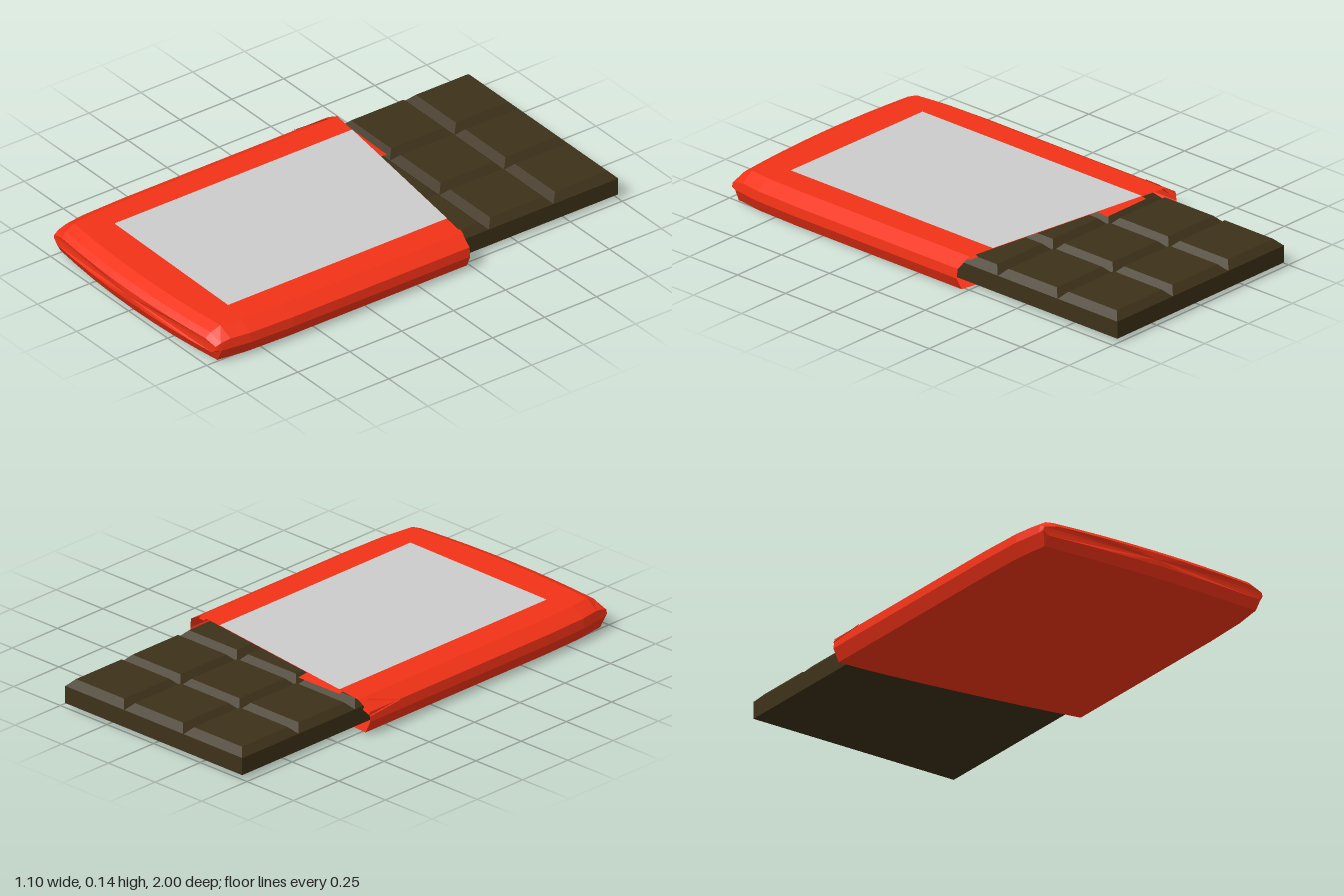
import * as THREE from 'three';

const choc = new THREE.MeshStandardMaterial({ color: 0x3d3118, flatShading: true });
const red = new THREE.MeshStandardMaterial({ color: 0xf23216, flatShading: true, side: THREE.DoubleSide });
const grey = new THREE.MeshStandardMaterial({ color: 0xcccccc, flatShading: true, side: THREE.DoubleSide });

// Slanted torn edge of the wrapper
const tornZ = (x) => THREE.MathUtils.clamp(-0.305 + 0.135 * x, -0.37, -0.23);

function add(parent, name, geometry, material) {
  const mesh = new THREE.Mesh(geometry, material);
  mesh.name = name;
  parent.add(mesh);
  return mesh;
}

function surface(points, index) {
  const g = new THREE.BufferGeometry();
  g.setAttribute('position', new THREE.Float32BufferAttribute(points.flat(), 3));
  g.setIndex(index);
  g.computeVertexNormals();
  return g;
}

// Chocolate: a slab carrying rows of bevelled squares
function chocolateBar() {
  const bar = new THREE.Group();
  bar.name = 'chocolateBar';
  const cols = 3, rows = 6, w = 0.95 / cols, d = 0.312, inset = 0.03;
  add(bar, 'slab', new THREE.BoxGeometry(0.95, 0.072, rows * d), choc)
    .position.set(0, 0.056, -1 + rows * d / 2);

  const tile = new THREE.BoxGeometry(w, 0.03, d);
  const p = tile.attributes.position;
  for (let i = 0; i < p.count; i++) {
    if (p.getY(i) > 0) {
      p.setX(i, p.getX(i) - Math.sign(p.getX(i)) * inset);
      p.setZ(i, p.getZ(i) - Math.sign(p.getZ(i)) * inset);
    }
  }
  tile.computeVertexNormals();
  for (let r = 0; r < rows; r++) {
    for (let c = 0; c < cols; c++) {
      add(bar, 'square', tile, choc).position.set((c - 1) * w, 0.106, -1 + (r + 0.5) * d);
    }
  }
  return bar;
}

// Wrapper: one cross-section lofted from the torn edge to the closed front
function wrapperGeometry() {
  const mid = 0.068, ring = [];
  const side = [[0.55, 0.06], [0.545, 0.1]];
  for (let i = 0; i <= 8; i++) {
    const t = i / 4 - 1;
    ring.push([0.525 * t, 0.008 - 0.007 * (1 - t * t)]);
  }
  ring.push(...side);
  for (let i = 0; i <= 8; i++) ring.push([0.485 * (1 - i / 4), 0.134]);
  ring.push(...side.map(([x, y]) => [-x, y]).reverse());

  // z, width scale, scale of the upper half, scale of the lower half
  const stations = [
    [null, 1, 1, 1], [0.2, 1, 1, 1], [0.62, 1, 1, 1], [0.82, 0.988, 1, 1],
    [0.935, 0.965, 1, 1], [0.978, 0.955, 0.72, 1], [1, 0.945, 0.4, 0.35],
  ];
  const points = [], index = [], n = ring.length;
  stations.forEach(([z, s, up, low], k) => {
    for (const [x, y] of ring) {
      const bulge = z > 0.9 ? 0.028 * (x / 0.525) ** 2 : 0;
      points.push([x * s, mid + (y - mid) * (y > mid ? up : low), z === null ? tornZ(x) : z - bulge]);
    }
    if (k === 0) return;
    for (let i = 0; i < n; i++) {
      const a = (k - 1) * n + i, b = (k - 1) * n + (i + 1) % n;
      index.push(a, b, a + n, b, b + n, a + n);
    }
  });
  // Close the front
  const last = (stations.length - 1) * n;
  points.push([0, mid, 1]);
  for (let i = 0; i < n; i++) index.push(last + i, last + (i + 1) % n, points.length - 1);
  return surface(points, index);
}

export function createModel() {
  const model = new THREE.Group();
  model.name = 'wrappedChocolateBar';
  model.add(chocolateBar());
  add(model, 'wrapper', wrapperGeometry(), red);

  // Blank label lying on the wrapper, cut off at the tear
  add(model, 'label', surface([
    [-0.37, 0.136, tornZ(-0.37)], [-0.37, 0.136, 0.79],
    [0.37, 0.136, 0.8], [0.37, 0.136, tornZ(0.37)],
  ], [0, 1, 2, 0, 2, 3]), grey);

  // Torn shreds along the opening
  const flap = [0, 1, 2, 0, 2, 3];
  add(model, 'cornerFlap', surface([
    [-0.55, 0.1, -0.2], [-0.552, 0.085, -0.37], [-0.51, 0.1, -0.37], [-0.5, 0.13, -0.33],
  ], flap), red);
  add(model, 'innerShred', surface([
    [-0.38, 0.128, -0.34], [-0.38, 0.124, -0.367], [-0.16, 0.122, -0.365], [-0.16, 0.128, -0.31],
  ], flap), red);
  add(model, 'sideShred', surface([
    [0.45, 0.133, -0.235], [0.455, 0.128, -0.255], [0.49, 0.124, -0.245], [0.5, 0.125, -0.22],
  ], flap), red);
  return model;
}
